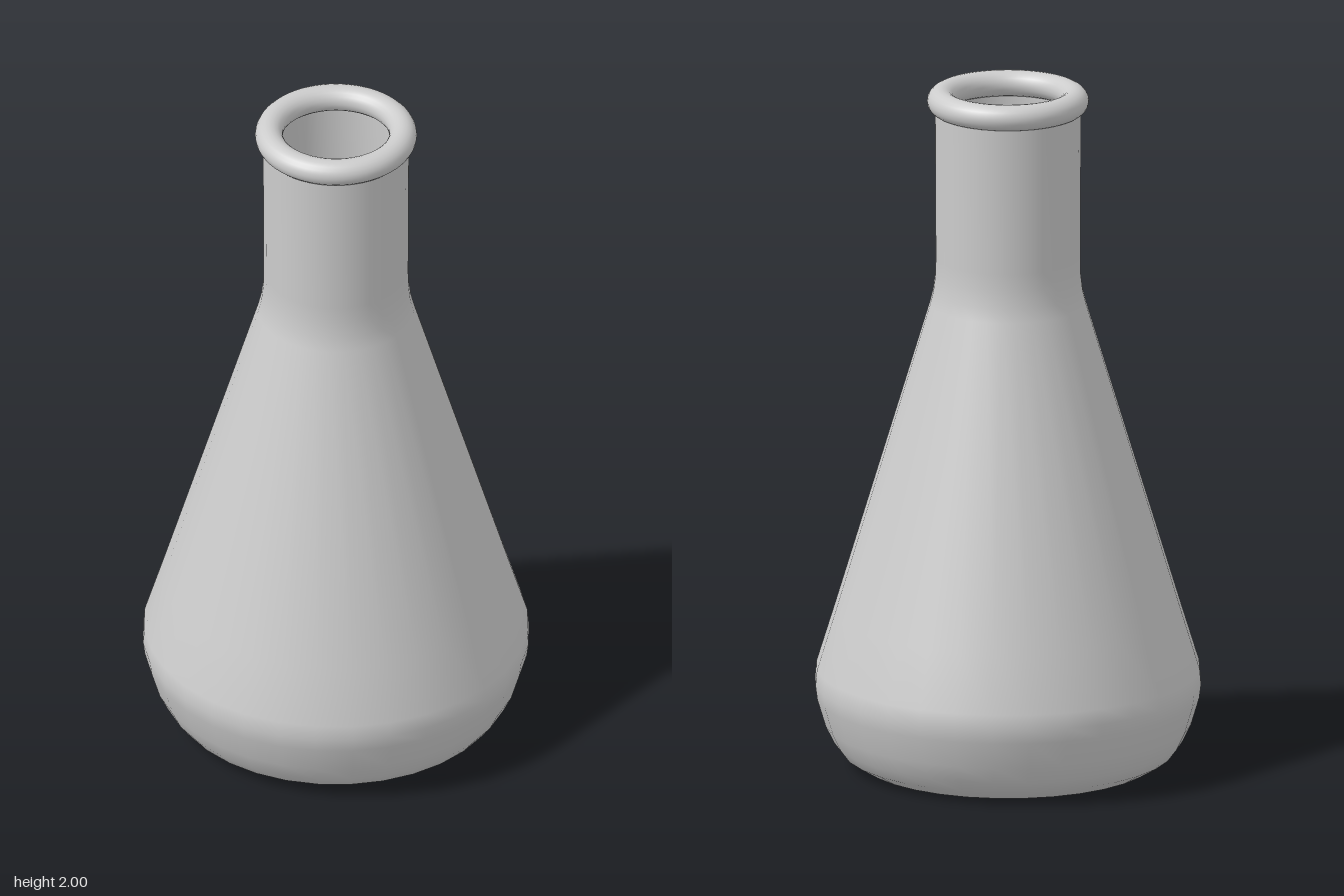
import * as THREE from 'three';

export function createModel() {
  const group = new THREE.Group();
  const glass = new THREE.MeshStandardMaterial({ color: 0xcccccc, side: THREE.DoubleSide });
  glass.name = 'pale grey glass';

  const add = (name, geometry, y = 0) => {
    const mesh = new THREE.Mesh(geometry, glass);
    mesh.name = name;
    mesh.position.y = y;
    group.add(mesh);
    return mesh;
  };
  const lathe = (points) =>
    new THREE.LatheGeometry(points.map(([r, y]) => new THREE.Vector2(r, y)), 32);

  // Outer wall: flat base, rounded heel, cone, shoulder and neck
  add('flaskBody', lathe([
    [0, 0], [0.4, 0], [0.425, 0.004], [0.476, 0.035], [0.502, 0.07], [0.526, 0.12],
    [0.55, 0.2], [0.555, 0.24], [0.551, 0.285], [0.5, 0.45], [0.225, 1.36],
    [0.215, 1.4], [0.209, 1.45], [0.208, 1.5], [0.21, 1.96],
  ]));

  // Inner wall, running from the mouth down to the floor
  add('innerWall', lathe([
    [0.185, 1.96], [0.185, 1.45], [0.205, 1.36], [0.48, 0.45], [0.53, 0.27],
    [0.525, 0.2], [0.48, 0.08], [0.4, 0.025], [0, 0.02],
  ]));

  // Rounded rim around the mouth
  const rim = new THREE.TorusGeometry(0.192, 0.04, 20, 64);
  rim.rotateX(-Math.PI / 2);
  rim.scale(1, 0.95, 1);
  add('rim', rim, 1.962);

  return group;
}
